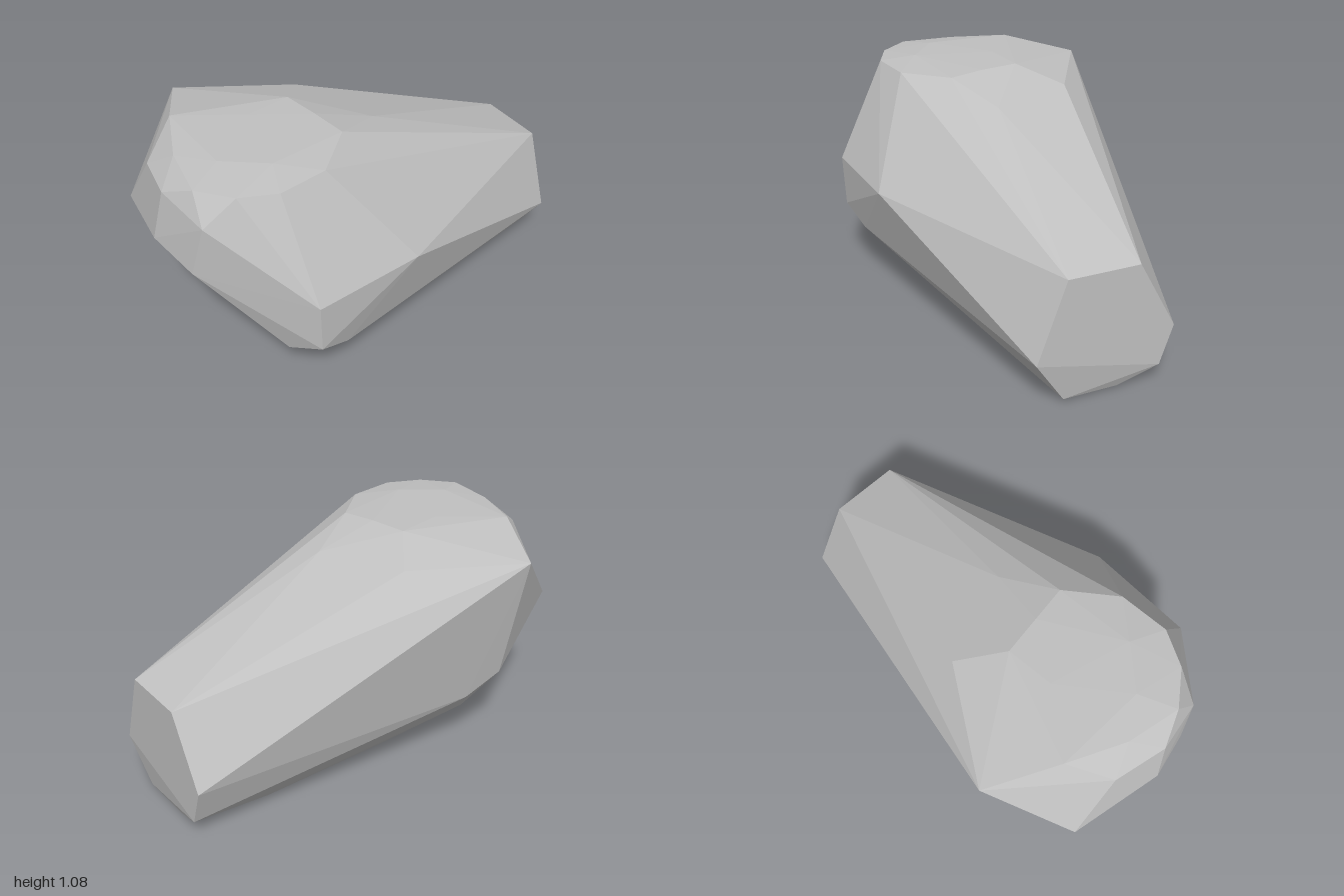
import * as THREE from 'three';
import { ConvexGeometry } from 'three/addons/geometries/ConvexGeometry.js';

// Corners of the faceted boulder, grouped by region
const endFace = [
  [1, 0.59, 0.16], [1, 0.59, -0.165], [1, 0.27, -0.34], [1, 0.09, -0.28],
  [0.97, 0.014, -0.1], [0.975, 0.018, 0.155], [1, 0.225, 0.29],
];
const crown = [
  [-0.57, 0.995, -0.635], [-0.08, 0.99, -0.35], [0.08, 0.98, 0.06],
  [-0.23, 1.075, -0.16], [-0.2, 1.075, 0.02], [-0.17, 1.065, 0.19],
  [-0.37, 1.055, 0.37], [-0.6, 1.055, 0.4], [-0.76, 1.055, 0.33],
  [-0.88, 1.055, 0.19], [-0.54, 1.08, 0.24], [-0.72, 1.08, 0.1],
  [-0.73, 1.073, -0.32], [-0.45, 1.08, -0.13], [-0.84, 1.062, -0.06],
];
const bluntEnd = [
  [-0.955, 0.99, 0.05], [-0.91, 0.97, -0.19], [-0.93, 0.66, -0.41],
  [-1, 0.74, 0.01], [-0.94, 0.67, 0.23], [-0.9, 0.93, 0.29], [-0.93, 0.59, -0.09],
];
const frontSide = [
  [-0.57, 0.59, 0.632], [-0.05, 0.6, 0.6], [-0.56, 0.345, 0.625],
  [-0.4, 0.27, 0.58], [-0.64, 0.28, 0.48],
];
const underside = [
  [-0.54, 0.4, -0.53], [-0.36, 0.31, -0.5], [-0.4, 0.215, -0.43],
  [0.01, 0.08, -0.3], [0.6, 0.03, -0.25], [-0.37, 0.145, 0.2],
  [-0.25, 0.115, 0.1], [0.1, 0.06, 0.05], [0.3, 0.032, 0.1], [0.75, 0, 0],
];

export function createModel() {
  const stone = new THREE.MeshStandardMaterial({ color: 0xc0c0c0 });
  stone.name = 'grey stone';
  stone.flatShading = true;

  // Wrap the corners in one faceted shell
  const points = [endFace, crown, bluntEnd, frontSide, underside]
    .flat().map((p) => new THREE.Vector3(...p));
  const boulder = new THREE.Mesh(new ConvexGeometry(points), stone);
  boulder.name = 'boulder';

  const model = new THREE.Group();
  model.name = 'rock';
  model.add(boulder);
  return model;
}
